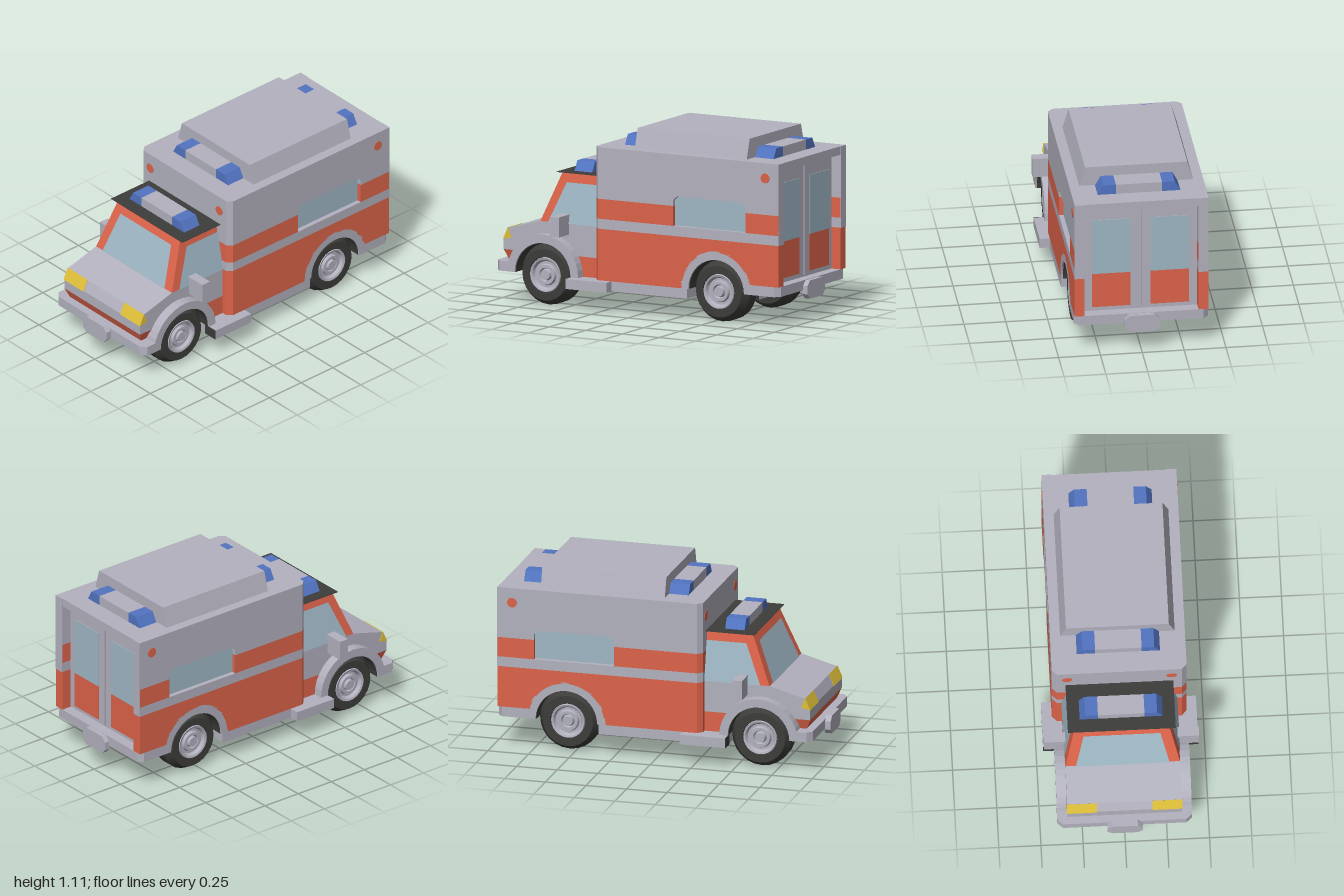
import * as THREE from 'three';
import { toCreasedNormals } from 'three/addons/utils/BufferGeometryUtils.js';

const mat = (name, color) => {
  const m = new THREE.MeshStandardMaterial({ color, side: THREE.DoubleSide });
  m.name = name;
  return m;
};

export function createModel() {
  const root = new THREE.Group();
  root.name = 'ambulance';
  const grey = mat('bodyGrey', 0xb2b1be), red = mat('stripeRed', 0xdd634a), black = mat('rubberBlack', 0x3c3c3a);
  const glass = mat('glassBlue', 0x9fb7c5), blue = mat('beaconBlue', 0x5274c2), yellow = mat('lampYellow', 0xe0c038);

  const add = (name, geo, m, parent = root) => {
    const mesh = new THREE.Mesh(geo, m);
    mesh.name = name;
    parent.add(mesh);
    return mesh;
  };
  const extrude = (pts, depth) => new THREE.ExtrudeGeometry(
    new THREE.Shape(pts.map(p => new THREE.Vector2(p[0], p[1]))), { depth, bevelEnabled: false });
  // Box given by its limits
  const box = (name, x0, x1, y0, y1, z0, z1, m) => add(name,
    new THREE.BoxGeometry(x1 - x0, y1 - y0, z1 - z0).translate((x0 + x1) / 2, (y0 + y1) / 2, (z0 + z1) / 2), m);
  // Side profile of [z, y] points, extruded across x
  const profile = (name, pts, x0, x1, m) => add(name,
    extrude(pts.map(([z, y]) => [-z, y]), x1 - x0).rotateY(Math.PI / 2).translate(x0, 0, 0), m);
  // Plan of [x, z] points, extruded upward
  const plan = (name, pts, y0, y1, m) => add(name,
    extrude(pts.map(([x, z]) => [x, -z]), y1 - y0).rotateX(-Math.PI / 2).translate(0, y0, 0), m);
  // Front outline of [x, y] points, extruded along z
  const front = (name, pts, z0, z1, m) => add(name, extrude(pts, z1 - z0).translate(0, 0, z0), m);
  // Flat four-cornered face
  const quad = (name, c, m) => {
    const g = new THREE.BufferGeometry();
    g.setAttribute('position', new THREE.Float32BufferAttribute([0, 1, 2, 0, 2, 3].flatMap(i => c[i]), 3));
    g.computeVertexNormals();
    return add(name, g, m);
  };
  const AXLE_Y = 0.19, FRONT_Z = 0.64, REAR_Z = -0.545;
  // Arch points running from the +z foot at height ya to the -z foot at height yb
  const arch = (cz, r, ya, yb, n = 18) => {
    const a = Math.asin((ya - AXLE_Y) / r), b = Math.PI - Math.asin((yb - AXLE_Y) / r);
    return Array.from({ length: n + 1 }, (_, i) => {
      const t = a + (b - a) * i / n;
      return [cz + r * Math.cos(t), AXLE_Y + r * Math.sin(t)];
    });
  };

  // Chassis and running boards
  box('chassis', -0.215, 0.215, 0.13, 0.4, -0.73, 0.82, grey);
  box('floor', -0.4, 0.4, 0.13, 0.19, -0.345, 0.45, grey);
  plan('frontBumper', [[-0.4, 0.83], [-0.4, 0.935], [-0.365, 0.965], [0.365, 0.965], [0.4, 0.935], [0.4, 0.83]], 0.19, 0.25, grey);
  plan('rearBumper', [[-0.4, -0.74], [-0.4, -0.94], [-0.37, -0.97], [0.37, -0.97], [0.4, -0.94], [0.4, -0.74]], 0.19, 0.25, grey);
  const badge = y => [[-0.105, y + 0.03], [-0.075, y], [0.075, y], [0.105, y + 0.03],
    [0.105, y + 0.08], [0.075, y + 0.11], [-0.075, y + 0.11], [-0.105, y + 0.08]];
  front('frontPlate', badge(0.155), 0.96, 1, grey);
  front('rearPlate', badge(0.138), -1, -0.965, grey);

  // Rear compartment: front wall in colour bands
  const wall = [[-0.4, 0.2], [-0.4, 0.26], [-0.37, 0.29], [0.37, 0.29], [0.4, 0.26], [0.4, 0.2]];
  [[0.19, 0.5, red], [0.5, 0.56, grey], [0.56, 0.68, red], [0.68, 0.99, grey]]
    .forEach(([a, b, m]) => plan('frontWall', wall, a, b, m));
  box('roof', -0.34, 0.34, 0.94, 0.99, -0.97, 0.2, grey);
  box('interior', -0.34, 0.34, 0.44, 0.94, -0.9, 0.2, grey);
  box('doorBacking', -0.34, 0.34, 0.25, 0.94, -0.905, -0.8, grey);

  for (const s of [1, -1]) {
    const x0 = s > 0 ? 0.34 : -0.4, x1 = x0 + 0.06;
    const span = (a, b) => s > 0 ? [a, b] : [-b, -a];
    // Compartment side panels
    profile('lowerSidePanel', [[0.2, 0.19], [0.2, 0.5], [-0.97, 0.5], [-0.97, 0.25],
      ...arch(REAR_Z, 0.235, 0.19, 0.25).reverse()], x0, x1, red);
    profile('waistPanel', [[0.2, 0.5], [0.2, 0.56], [-0.97, 0.56], [-0.97, 0.5]], x0, x1, grey);
    profile('frontStripe', [[0.2, 0.56], [0.2, 0.68], [-0.25, 0.68], [-0.25, 0.56]], x0, x1, red);
    profile('rearStripe', [[-0.745, 0.56], [-0.745, 0.68], [-0.97, 0.68], [-0.97, 0.56]], x0, x1, red);
    profile('upperSidePanel', [[0.2, 0.68], [0.2, 0.99], [-0.97, 0.99], [-0.97, 0.68], [-0.745, 0.68],
      [-0.745, 0.715], [-0.72, 0.74], [-0.28, 0.74], [-0.25, 0.715], [-0.25, 0.68]], x0, x1, grey);
    box('rearPost', ...span(0.34, 0.4), 0.5, 0.99, -0.973, -0.969, grey);
    box('sideWindow', ...span(0.365, 0.372), 0.555, 0.745, -0.75, -0.245, glass);

    // Round marker lamps
    const disc = () => new THREE.CylinderGeometry(0.03, 0.03, 0.006, 12);
    add('sideMarker', disc().rotateZ(Math.PI / 2).translate(s * 0.4, 0.9, -0.88), red);
    add('frontMarker', disc().rotateX(Math.PI / 2).translate(s * 0.31, 0.895, 0.29), red);

    // Rear doors
    box('rearDoor', ...span(0.006, 0.33), 0.26, 0.93, -0.915, -0.9, grey);
    box('rearDoorWindow', ...span(0.06, 0.29), 0.5, 0.855, -0.919, -0.914, glass);
    box('rearDoorStripe', ...span(0.06, 0.29), 0.28, 0.5, -0.919, -0.914, red);

    // Steps, mirrors and headlamps
    box('step', ...span(0.39, 0.46), 0.13, 0.19, 0.17, 0.45, grey);
    box('stepFront', ...span(0.37, 0.46), 0.13, 0.19, 0.45, 0.454, black);
    box('mirror', ...span(0.31, 0.46), 0.435, 0.555, 0.495, 0.555, grey);
    profile('headlamp', [[0.885, 0.385], [0.912, 0.443], [0.944, 0.372]], ...span(0.165, 0.343), yellow);

    // Cab side window
    const sx = y => s * (0.344 - 0.2 * (y - 0.5));
    quad('cabSideWindow', [[sx(0.5), 0.5, 0.29], [sx(0.5), 0.5, 0.635], [sx(0.74), 0.74, 0.535], [sx(0.74), 0.74, 0.29]], glass);

    // Wheels with arches
    for (const z of [FRONT_Z, REAR_Z]) {
      profile('wheelArch', [...arch(z, 0.242, AXLE_Y, AXLE_Y), ...arch(z, 0.19, AXLE_Y, AXLE_Y).reverse()], ...span(0.21, 0.4), grey);
      profile('wheelWell', [...arch(z, 0.191, AXLE_Y, AXLE_Y), ...arch(z, 0.187, AXLE_Y, AXLE_Y).reverse()], ...span(0.212, 0.39), black);
      profile('wheelWellLining', [[z + 0.185, 0.13], ...arch(z, 0.19, AXLE_Y, AXLE_Y), [z - 0.185, 0.13]], ...span(0.212, 0.218), black);
      const wheel = new THREE.Group();
      wheel.name = 'wheel';
      const lathe = pts => toCreasedNormals(
        new THREE.LatheGeometry(pts.map(p => new THREE.Vector2(...p)), 24).rotateZ(-Math.PI / 2), 0.4);
      add('tyre', lathe([[0, -0.09], [0.155, -0.09], [0.185, -0.04], [0.185, 0.04], [0.155, 0.09], [0.108, 0.09], [0.1, 0.06], [0, 0.06]]), black, wheel);
      add('rim', lathe([[0.108, 0.07], [0.102, 0.092], [0.09, 0.088], [0.08, 0.068], [0.066, 0.068], [0.06, 0.085], [0.042, 0.085], [0.036, 0.07], [0.03, 0.092], [0, 0.092]]), grey, wheel);
      wheel.position.set(s * 0.28, 0.185, z);
      if (s < 0) wheel.rotation.y = Math.PI;
      root.add(wheel);
    }
  }

  // Cab lower body and bonnet
  profile('bonnet', [[0.29, 0.31], [0.29, 0.5], [0.69, 0.5], [0.91, 0.44], [0.94, 0.375], [0.94, 0.31],
    ...arch(FRONT_Z, 0.2, 0.31, 0.31)], -0.34, 0.34, grey);
  profile('cabRearSkirt', [[0.29, 0.19], [0.29, 0.31], [0.46, 0.31], [0.44, 0.19]], -0.34, 0.34, red);
  plan('noseFill', [[-0.32, 0.84], [0.32, 0.84], [0.32, 0.9], [-0.32, 0.9]], 0.24, 0.31, red);

  // Tapered block between a lower and an upper rectangle [x0, x1, z0, z1]
  const taper = (name, lo, hi, y0, y1, m) => {
    const g = new THREE.BoxGeometry(1, 1, 1), p = g.attributes.position;
    for (let i = 0; i < p.count; i++) {
      const up = p.getY(i) > 0, r = up ? hi : lo;
      p.setXYZ(i, r[p.getX(i) > 0 ? 1 : 0], up ? y1 : y0, r[p.getZ(i) > 0 ? 3 : 2]);
    }
    g.computeVertexNormals();
    return add(name, g, m);
  };
  taper('noseSkirt', [-0.32, 0.32, 0.83, 0.915], [-0.34, 0.34, 0.83, 0.94], 0.25, 0.31, red);

  // Cab upper body, windscreen and roof sheet
  taper('cabTop', [-0.34, 0.34, 0.285, 0.69], [-0.28, 0.28, 0.285, 0.57], 0.5, 0.8, red);
  const wz = y => 0.695 - 0.4 * (y - 0.5);
  quad('windscreen', [[-0.278, 0.5, wz(0.5)], [0.278, 0.5, wz(0.5)], [0.228, 0.745, wz(0.745)], [-0.228, 0.745, wz(0.745)]], glass);
  box('cabRoofSheet', -0.32, 0.32, 0.8, 0.803, 0.285, 0.59, black);

  // Roof pod
  taper('roofPod', [-0.34, 0.34, -0.72, 0.045], [-0.305, 0.305, -0.72, 0.045], 0.99, 1.11, grey);

  // Beacon bars
  for (const [y, z0, z1] of [[0.802, 0.39, 0.51], [0.99, 0.04, 0.165], [0.99, -0.85, -0.725]]) {
    box('beaconCentre', -0.138, 0.138, y, y + 0.06, z0, z1, grey);
    taper('beaconLeft', [0.138, 0.247, z0, z1], [0.138, 0.213, z0, z1], y, y + 0.06, blue);
    taper('beaconRight', [-0.247, -0.138, z0, z1], [-0.213, -0.138, z0, z1], y, y + 0.06, blue);
  }
  return root;
}
